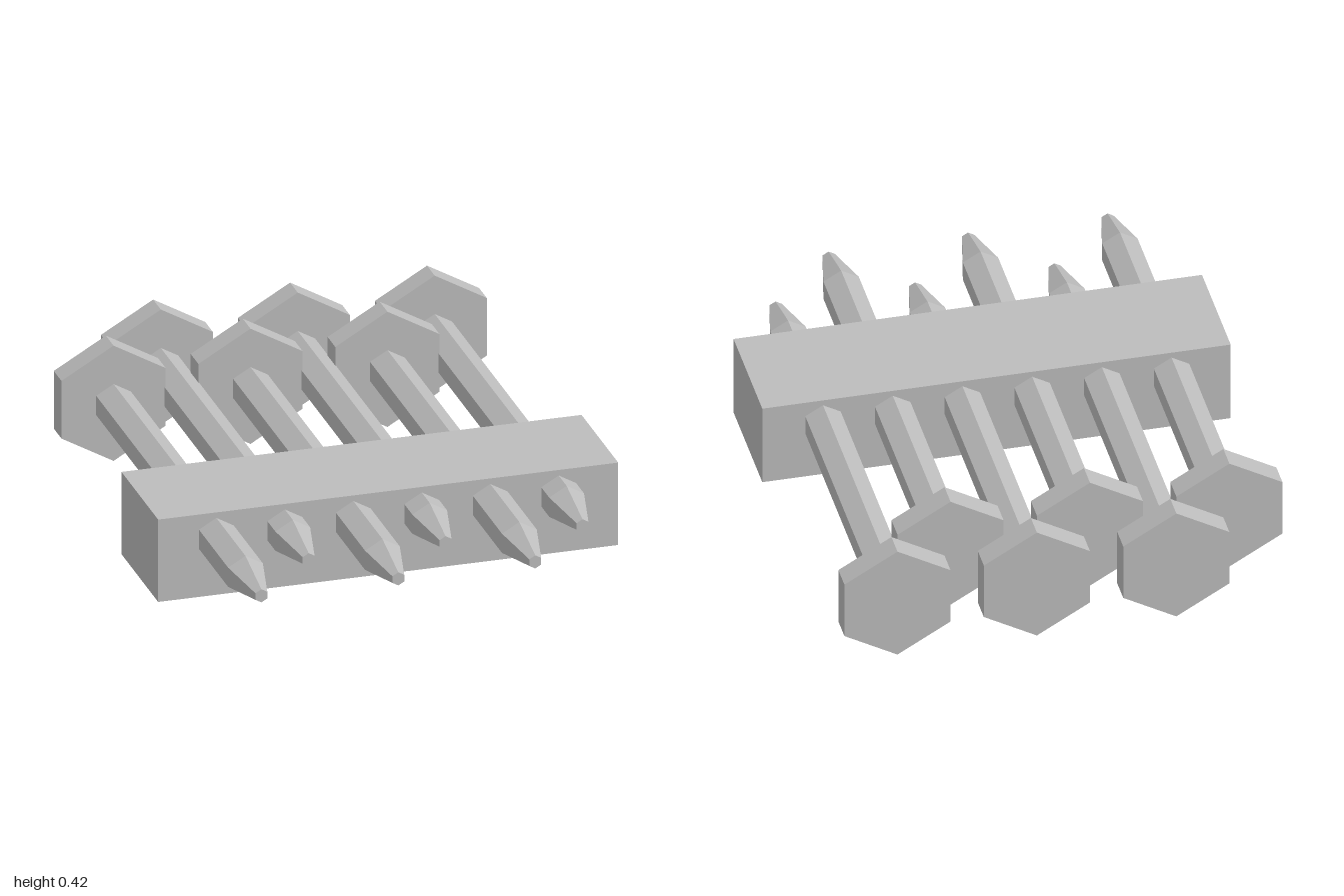
import * as THREE from 'three';

const grey = new THREE.MeshStandardMaterial({ color: 0xbcbcbc, flatShading: true });
grey.name = 'plain grey';

const AXIS_Y = 0.21;

// Hexagonal prism along z, corners pointing up and down
function hexPart(name, frontRadius, backRadius, zBack, zFront, openEnded = false) {
  const geometry = new THREE.CylinderGeometry(frontRadius, backRadius, zFront - zBack, 6, 1, openEnded);
  geometry.rotateX(Math.PI / 2);
  geometry.translate(0, 0, (zBack + zFront) / 2);
  const mesh = new THREE.Mesh(geometry, grey);
  mesh.name = name;
  return mesh;
}

// One nail: wide head at the back, long shaft, blunt tapered tip
function createNail(x, zBack) {
  const nail = new THREE.Group();
  nail.name = 'nail';
  const headEnd = 0.087, tipStart = 1.58, length = 1.76;
  nail.add(
    hexPart('nailHead', 0.21, 0.21, 0, headEnd),
    hexPart('nailShaft', 0.07, 0.07, headEnd, tipStart, true),
    hexPart('nailTip', 0.024, 0.07, tipStart, length),
  );
  nail.position.set(x, AXIS_Y, zBack);
  return nail;
}

export function createModel() {
  const model = new THREE.Group();
  model.name = 'nailStrip';

  // Holder block the nails run through
  const block = new THREE.Mesh(new THREE.BoxGeometry(1.606, 0.3, 0.415), grey);
  block.name = 'holderBlock';
  block.position.set(0, 0.15, 0.2825);
  model.add(block);

  // Six nails, alternately pushed forward and pulled back
  for (let i = 0; i < 6; i++) {
    model.add(createNail(-0.6 + i * 0.239, i % 2 === 0 ? -0.76 : -1));
  }
  return model;
}
